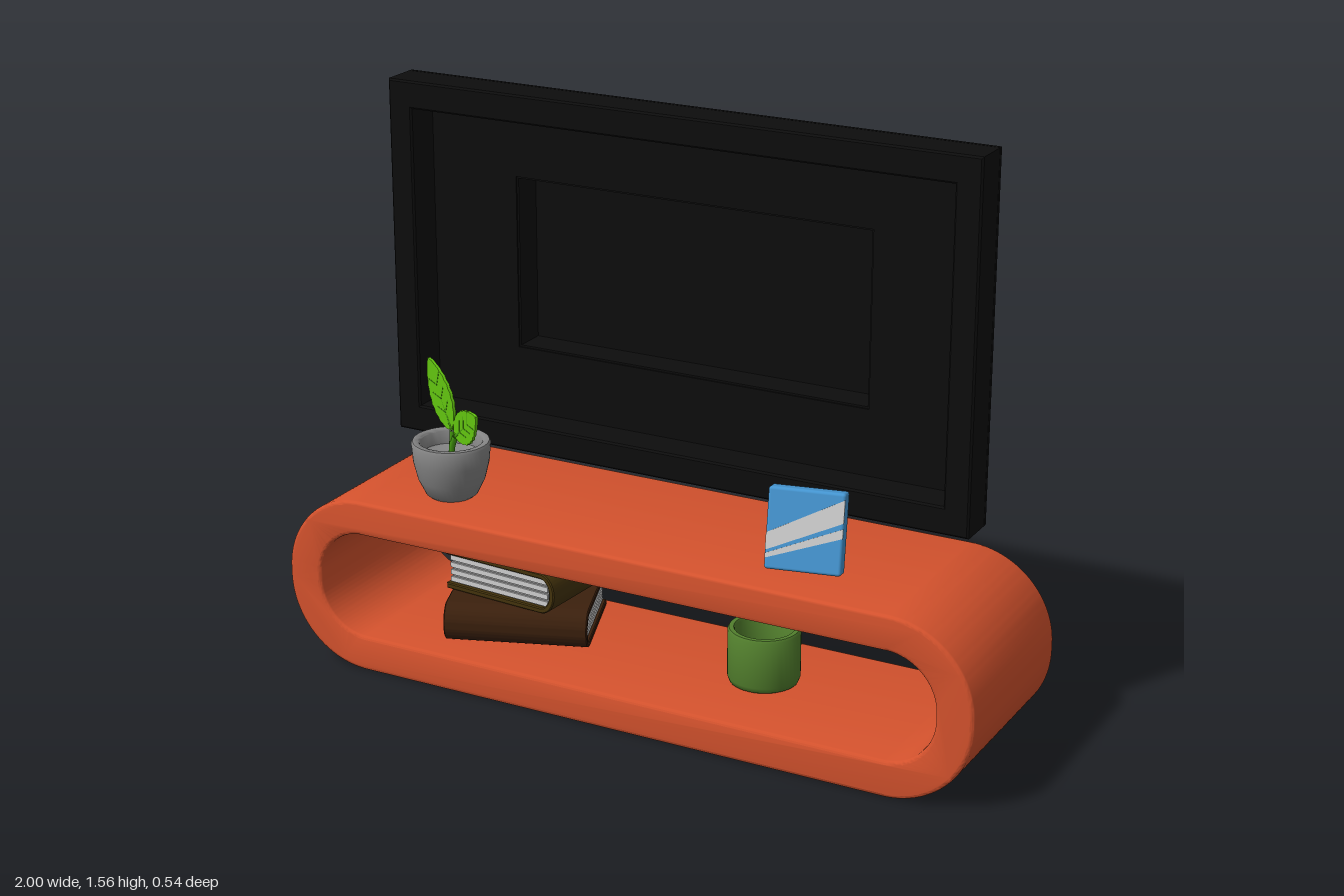
import * as THREE from 'three';
import { toCreasedNormals } from 'three/addons/utils/BufferGeometryUtils.js';
import { RoundedBoxGeometry } from 'three/addons/geometries/RoundedBoxGeometry.js';

const material = (name, color, side = THREE.FrontSide) => {
  const m = new THREE.MeshStandardMaterial({ color, side });
  m.name = name;
  return m;
};
const mats = {
  orange: material('orange lacquer', 0xd4522d),
  black: material('black plastic', 0x0d0d0d),
  grey: material('grey stoneware', 0x858585),
  leaf: material('leaf green', 0x62c40f, THREE.DoubleSide),
  stem: material('stem green', 0x459a10),
  blue: material('card blue', 0x4596d2),
  silver: material('silver white', 0xcfcfcf, THREE.DoubleSide),
  brown: material('dark brown', 0x3b200d),
  olive: material('olive brown', 0x44330c),
  green: material('mug green', 0x527f2d),
};

function add(parent, name, geometry, mat, x = 0, y = 0, z = 0) {
  const mesh = new THREE.Mesh(geometry, mat);
  mesh.name = name;
  mesh.position.set(x, y, z);
  parent.add(mesh);
  return mesh;
}

// Rounded rectangle outline; r = 0 gives square corners
function rectangle(x0, x1, y0, y1, r = 0, Type = THREE.Shape) {
  const s = new Type();
  if (!r) {
    s.moveTo(x0, y0).lineTo(x1, y0).lineTo(x1, y1).lineTo(x0, y1).closePath();
    return s;
  }
  s.absarc(x1 - r, y0 + r, r, -Math.PI / 2, 0);
  s.absarc(x1 - r, y1 - r, r, 0, Math.PI / 2);
  s.absarc(x0 + r, y1 - r, r, Math.PI / 2, Math.PI);
  s.absarc(x0 + r, y0 + r, r, Math.PI, Math.PI * 1.5);
  s.closePath();
  return s;
}

// Extrude between two z values with softened edges kept inside the outline
function slab(shape, z0, z1, bevel = 0, segments = 2) {
  const g = new THREE.ExtrudeGeometry(shape, {
    depth: z1 - z0 - 2 * bevel, bevelEnabled: bevel > 0, bevelSize: bevel,
    bevelThickness: bevel, bevelOffset: -bevel, bevelSegments: segments, curveSegments: 20,
  });
  g.translate(0, 0, z0 + bevel);
  return toCreasedNormals(g, 0.7);
}

function lathe(points) {
  const g = new THREE.LatheGeometry(points.map(([r, y]) => new THREE.Vector2(r, y)), 40);
  return toCreasedNormals(g.toNonIndexed(), 0.9);
}

function screen() {
  const tv = new THREE.Group();
  tv.name = 'television';
  const frame = rectangle(-0.85, 0.835, 0.58, 1.56);
  frame.holes.push(rectangle(-0.78, 0.765, 0.655, 1.485, 0, THREE.Path));
  add(tv, 'screenFrame', slab(frame, -0.168, -0.06, 0.005, 1), mats.black);

  // Deep panel opening into the housing behind it
  const panel = rectangle(-0.85, 0.835, 0.58, 1.56);
  panel.holes.push(rectangle(-0.525, 0.51, 0.835, 1.31, 0, THREE.Path));
  add(tv, 'screenPanel', slab(panel, -0.175, -0.165), mats.black);
  const walls = rectangle(-0.53, 0.515, 0.83, 1.315);
  walls.holes.push(rectangle(-0.52, 0.505, 0.84, 1.305, 0, THREE.Path));
  add(tv, 'housingWalls', slab(walls, -0.262, -0.17), mats.black);
  add(tv, 'housingBack', slab(rectangle(-0.53, 0.515, 0.83, 1.315), -0.27, -0.258, 0.004, 1), mats.black);
  return tv;
}

// Book lying flat, rounded spine towards +x, pages showing on the other sides
function book(name, width, length, height, cover) {
  const g = new THREE.Group();
  g.name = name;
  const h = height / 2, t = 0.016, r = 0.045, x0 = -width / 2, x1 = width / 2;
  const s = new THREE.Shape();
  s.moveTo(x0, -h).lineTo(x1 - r, -h);
  s.absellipse(x1 - r, 0, r, h, -Math.PI / 2, Math.PI / 2);
  s.lineTo(x0, h).lineTo(x0, h - t).lineTo(x1 - r, h - t);
  s.absellipse(x1 - r, 0, r - t, h - t, Math.PI / 2, -Math.PI / 2, true);
  s.lineTo(x0, -h + t).closePath();
  add(g, 'bookCover', slab(s, -length / 2, length / 2, 0.003, 1), cover);
  const pw = width - r - 0.012, px = x0 + 0.012 + pw / 2;
  add(g, 'pageBlock', new THREE.BoxGeometry(pw + 0.02, height - 2 * t, length - 0.028), mats.grey, px + 0.01);
  const layers = 4, step = (height - 2 * t) / layers;
  for (let i = 0; i < layers; i++) {
    add(g, 'pageLayer', new THREE.BoxGeometry(pw + 0.022, step * 0.68, length - 0.018), mats.silver,
      px + 0.008, -h + t + step * (i + 0.5));
  }
  return g;
}

// Leaf with a toothed edge growing along +y, with midrib and side veins
function leaf(length, width) {
  const g = new THREE.Group();
  g.name = 'leaf';
  const n = 16, right = [], left = [];
  for (let i = 0; i <= n; i++) {
    const t = i / n;
    const w = width / 2 * Math.pow(Math.sin(Math.PI * Math.pow(t, 0.85)), 0.75) * (i % 2 ? 1 : 0.93);
    right.push(new THREE.Vector2(w || 0, t * length));
    if (i > 0 && i < n) left.unshift(new THREE.Vector2(-w, t * length));
  }
  add(g, 'leafBlade', slab(new THREE.Shape([...right, ...left]), -0.004, 0.004), mats.leaf);
  add(g, 'midrib', new THREE.CylinderGeometry(0.002, 0.006, length * 0.92, 8), mats.stem, 0, length * 0.46);
  for (const side of [-1, 1]) for (let i = 1; i <= 3; i++) {
    const vein = add(g, 'vein', new THREE.BoxGeometry(0.003, width * 0.38, 0.0095), mats.stem,
      side * width * 0.14, length * (0.12 + 0.19 * i));
    vein.rotation.z = -side * 0.85;
  }
  return g;
}

function plant() {
  const g = new THREE.Group();
  g.name = 'pottedPlant';
  g.position.set(-0.58, 0.49, 0.1);
  add(g, 'pot', lathe([[0, 0], [0.06, 0], [0.07, 0.008], [0.09, 0.05], [0.102, 0.1], [0.106, 0.148],
    [0.102, 0.155], [0.087, 0.155], [0.083, 0.15], [0.08, 0.115], [0.07, 0.11], [0, 0.108]]), mats.grey);
  const foliage = new THREE.Group();
  foliage.name = 'foliage';
  foliage.rotation.y = -0.44;
  g.add(foliage);
  const stems = [
    { end: [0.01, 0.185], bend: [0.005, 0.14], angle: 0.56, size: [0.205, 0.108] },
    { end: [0.025, 0.172], bend: [0.0, 0.14], angle: -0.88, size: [0.135, 0.092] },
  ];
  for (const { end, bend, angle, size } of stems) {
    const path = new THREE.QuadraticBezierCurve3(new THREE.Vector3(0, 0.1, 0),
      new THREE.Vector3(...bend, 0), new THREE.Vector3(...end, 0));
    add(foliage, 'stem', new THREE.TubeGeometry(path, 10, 0.008, 8), mats.stem);
    const blade = leaf(...size);
    blade.position.set(...end, 0);
    blade.rotation.z = angle;
    foliage.add(blade);
  }
  return g;
}

// Small leaning box with two slanted stripes on its face
function card() {
  const g = new THREE.Group();
  g.name = 'leaningCard';
  g.position.set(0.508, 0.633, 0.187);
  g.rotation.set(-0.2, 0.21, 0, 'YXZ');
  add(g, 'cardBody', new RoundedBoxGeometry(0.195, 0.208, 0.045, 3, 0.008), mats.blue);
  const x = 0.0965;
  for (const [l0, l1, r0, r1] of [[-0.056, -0.012, 0.03, 0.088], [-0.076, -0.064, -0.008, 0.016]]) {
    const stripe = new THREE.Shape([[-x, l0], [x, r0], [x, r1], [-x, l1]].map(p => new THREE.Vector2(...p)));
    add(g, 'cardStripe', slab(stripe, 0.02, 0.0235), mats.silver);
  }
  return g;
}

export function createModel() {
  const model = new THREE.Group();
  model.name = 'mediaConsole';

  // Hollow round-ended cabinet
  const ring = rectangle(-1, 1, 0, 0.49, 0.235);
  ring.holes.push(rectangle(-0.9, 0.9, 0.1, 0.395, 0.138, THREE.Path));
  add(model, 'cabinet', slab(ring, -0.26, 0.27, 0.01, 3), mats.orange);

  model.add(screen(), plant(), card());

  // Stacked books inside the cabinet
  const lower = book('lowerBook', 0.32, 0.39, 0.108, mats.brown);
  lower.position.set(-0.42, 0.156, -0.005);
  lower.rotation.y = -1.22;
  const upper = book('upperBook', 0.355, 0.29, 0.115, mats.olive);
  upper.position.set(-0.418, 0.2685, -0.03);
  upper.rotation.y = -0.08;
  model.add(lower, upper);

  // Open mug
  add(model, 'mug', lathe([[0, 0], [0.08, 0], [0.091, 0.006], [0.096, 0.02], [0.096, 0.148], [0.092, 0.154],
    [0.08, 0.154], [0.077, 0.148], [0.077, 0.02], [0, 0.015]]), mats.green, 0.305, 0.1, 0);
  return model;
}
